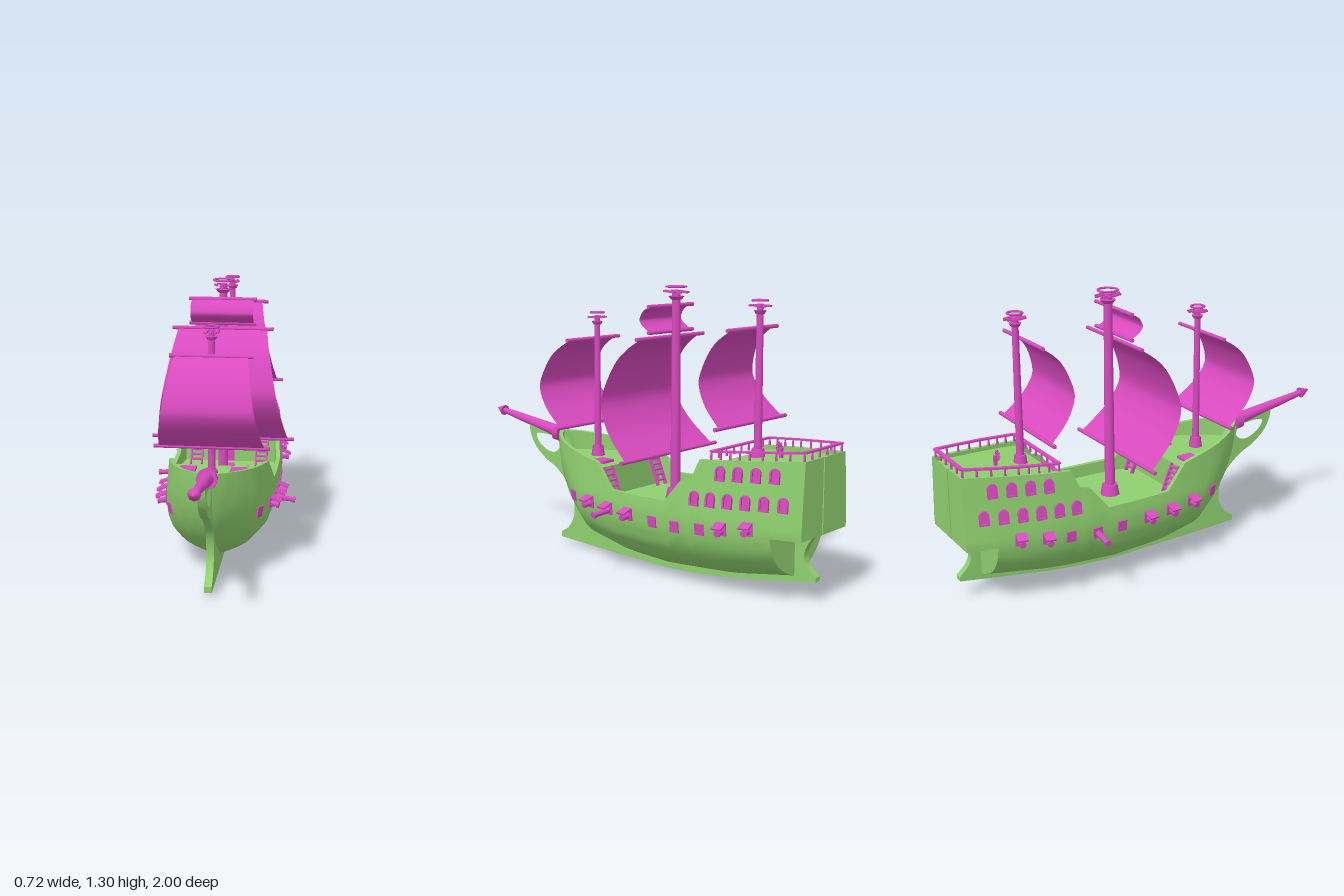
import * as THREE from 'three';
import { toCreasedNormals } from 'three/addons/utils/BufferGeometryUtils.js';

const V = (x, y, z) => new THREE.Vector3(x, y, z);
const green = new THREE.MeshStandardMaterial({ color: 0x8fd06f });
const pink = new THREE.MeshStandardMaterial({ color: 0xd94abf });
const cloth = new THREE.MeshStandardMaterial({ color: 0xd94abf, side: THREE.DoubleSide });

// Linear lookup in a list of [key, value] with rising keys
function look(table, k) {
  if (k <= table[0][0]) return table[0][1];
  for (let i = 1; i < table.length; i++) {
    const [a, va] = table[i - 1], [b, vb] = table[i];
    if (k <= b) return va + (vb - va) * (k - a) / (b - a);
  }
  return table[table.length - 1][1];
}

// Hull lines along z: top edge, bottom edge, half beam, height of the widest point
const SHEER = [[-1, .63], [-.52, .59], [-.485, .51], [-.43, .49], [-.35, .39], [-.03, .39], [.075, .5], [.3, .535], [.54, .575]];
const KEEL = [[-.865, .1], [-.55, .05], [-.23, .03], [0, .043], [.2, .085], [.33, .17], [.4, .235], [.455, .31], [.485, .38], [.51, .465], [.54, .57]];
const BEAM = [[-1, .175], [-.865, .21], [-.75, .235], [-.62, .256], [-.4, .27], [-.15, .268], [.05, .254], [.2, .227], [.3, .19], [.4, .135], [.48, .07], [.54, 0]];
const BILGE = [[.2, .33], [.4, .5], [.54, .575]];
const SECTION = [[0, .07], [.09, .35], [.24, .63], [.49, .87], [.74, .97], [1, 1]];
const sheer = (z) => look(SHEER, z);

function halfWidth(y, z) {
  const k = look(KEEL, z), m = Math.max(look(BILGE, z), k + .005);
  const full = y < m ? look(SECTION, (y - k) / (m - k)) : 1 - .12 * (y - m) / .3;
  return look(BEAM, z) * full;
}

// Hull shell with bulwarks, stepped decks and transom, lofted through stations
function hullGeometry() {
  const poop = (z) => sheer(z) - .018;
  const stations = [];
  const add = (zs, deck, low) => zs.forEach((z) => {
    const s = sheer(z), k = low ?? look(KEEL, z), d = Math.max(deck(z), k + .004);
    const row = [V(0, k, z)];
    for (let j = 0; j <= 16; j++) {
      const y = k + (s - k) * (j / 16) ** 1.25;
      row.push(V(halfWidth(y, z), y, z));
    }
    const inner = Math.max(0, Math.min(halfWidth(s, z), halfWidth(d, z)) - .02);
    row.push(V(inner, s, z), V(inner, d, z), V(0, d, z));
    stations.push(row);
  });
  add([.54, .525, .51, .497, .485, .47, .455, .43, .4, .365, .33, .3, .25, .2, .14, .075, .07], () => .47);
  add([.07, .02, -.03, -.12, -.23, -.35, -.43, -.46], () => .33);
  add([-.46, -.485, -.52, -.57], () => .45);
  add([-.57, -.62, -.7, -.78, -.865], poop);
  add([-.865, -.93, -.995], poop, .3);
  stations.push(stations[stations.length - 1].map((p) => V(0, p.y, p.z)));

  const pos = [];
  const tri = (...pts) => {
    pts.forEach((p) => pos.push(p.x, p.y, p.z));
    pts.reverse().forEach((p) => pos.push(-p.x, p.y, p.z));
  };
  for (let i = 0; i + 1 < stations.length; i++) {
    for (let j = 0; j + 1 < stations[i].length; j++) {
      const a = stations[i][j], b = stations[i][j + 1], c = stations[i + 1][j + 1], d = stations[i + 1][j];
      tri(a, d, c);
      tri(a, c, b);
    }
  }
  const g = new THREE.BufferGeometry();
  g.setAttribute('position', new THREE.Float32BufferAttribute(pos, 3));
  return toCreasedNormals(g, .55);
}

// Keel plate with beakhead loop and rudder, drawn in (z, y)
function keelGeometry() {
  const s = new THREE.Shape();
  s.moveTo(.745, .585);
  s.splineThru([[.735, .53], [.7, .47], [.63, .415], [.545, .37], [.455, .28], [.43, .17], [.465, .09], [.52, .053]].map((p) => new THREE.Vector2(...p)));
  s.lineTo(.52, .025);
  s.splineThru([[.25, .012], [0, .004], [-.2, 0], [-.45, .014], [-.7, .048], [-.97, .09]].map((p) => new THREE.Vector2(...p)));
  s.lineTo(-.97, .11);
  s.splineThru([[-.925, .155], [-.912, .2], [-.93, .25], [-.97, .305]].map((p) => new THREE.Vector2(...p)));
  [[-1, .305], [-1, .63], [-.99, .63], [-.99, .32], [-.84, .3], [-.8, .11], [-.23, .07], [.2, .13], [.4, .32], [.48, .5], [.52, .56], [.56, .56]].forEach((p) => s.lineTo(...p));
  const hole = new THREE.Path();
  hole.moveTo(.545, .53);
  hole.splineThru([[.62, .54], [.69, .535], [.675, .495], [.62, .46], [.565, .455], [.53, .485], [.545, .53]].map((p) => new THREE.Vector2(...p)));
  s.holes.push(hole);
  const g = new THREE.ExtrudeGeometry(s, { depth: .034, bevelEnabled: false, curveSegments: 24 });
  return toCreasedNormals(g.translate(0, 0, -.017).rotateY(-Math.PI / 2), .5);
}

export function createModel() {
  const ship = new THREE.Group();
  const group = (name, parent = ship) => {
    const g = new THREE.Group();
    g.name = name;
    parent.add(g);
    return g;
  };
  const mesh = (name, geo, mat = pink, parent = ship, x = 0, y = 0, z = 0) => {
    const m = new THREE.Mesh(geo, mat);
    m.name = name;
    m.position.set(x, y, z);
    parent.add(m);
    return m;
  };
  const box = (name, w, h, d, x, y, z, parent) => mesh(name, new THREE.BoxGeometry(w, h, d), pink, parent, x, y, z);
  const cyl = (name, rt, rb, h, n, x, y, z, parent) => mesh(name, new THREE.CylinderGeometry(rt, rb, h, n), pink, parent, x, y, z);
  const beam = (name, a, b, w, h, parent) => {
    const mid = a.clone().add(b).multiplyScalar(.5);
    const m = box(name, w, h, a.distanceTo(b), mid.x, mid.y, mid.z, parent);
    m.lookAt(b);
    return m;
  };

  mesh('hull', hullGeometry(), green);
  mesh('keel', keelGeometry(), green);

  // Bowsprit
  const sprit = group('bowsprit');
  sprit.position.set(0, .555, .53);
  sprit.rotation.x = Math.PI / 2 - .17;
  cyl('collar', .047, .047, .035, 8, 0, .01, 0, sprit);
  cyl('spar', .014, .032, .43, 12, 0, .215, 0, sprit);
  cyl('spritTip', .001, .028, .055, 8, 0, .45, 0, sprit);

  // Sails: a bulging sheet between two yards
  const bulge = new THREE.SplineCurve([[0, 0], [.1, .42], [.23, .74], [.45, .98], [.6, .97], [.8, .62], [1, 0]].map((p) => new THREE.Vector2(...p)));
  function sail(name, z, yTop, yLow, wTop, wLow, depth, over) {
    const g = group(name);
    g.position.set(-.007, 0, z);
    const geo = new THREE.PlaneGeometry(1, 1, 4, 24), p = geo.attributes.position;
    for (let i = 0; i < p.count; i++) {
      const b = bulge.getPoint(.5 - p.getY(i));
      p.setXYZ(i, p.getX(i) * 2 * (wTop + (wLow - wTop) * b.x), yTop + (yLow - yTop) * b.x, depth * b.y);
    }
    geo.computeVertexNormals();
    mesh('cloth', geo, cloth, g);
    [[yTop, wTop], [yLow, wLow]].forEach(([y, w]) => {
      cyl('yard', .009, .009, 2 * (w + over), 8, 0, y, 0, g).rotation.z = Math.PI / 2;
    });
  }
  sail('foreSail', .315, 1.04, .63, .16, .235, .165, .023);
  sail('mainSail', -.165, 1.075, .54, .21, .315, .185, .03);
  sail('topSail', -.165, 1.215, 1.1, .147, .147, .06, .012);
  sail('mizzenSail', -.615, 1.135, .73, .155, .235, .135, .03);

  // Masts with octagonal foot and lookout basket
  function mast(name, z, base, top, r, nest) {
    const g = group(name);
    g.position.set(-.008, 0, z);
    cyl('pole', r * .8, r, top - .02 - base, 12, 0, (top - .02 + base) / 2, 0, g);
    cyl('foot', r * 1.5, r * 2, .06, 8, 0, base + .03, 0, g);
    cyl('basketFloor', nest * .75, nest * .5, .016, 12, 0, top - .055, 0, g);
    mesh('basketRim', new THREE.TorusGeometry(nest - .004, .005, 6, 20).rotateX(Math.PI / 2), pink, g, 0, top - .005, 0);
    for (let i = 0; i < 8; i++) {
      const a = i * Math.PI / 4, c = Math.cos(a), s = Math.sin(a), q = nest * .68;
      beam('basketPost', V(c * q, top - .05, s * q), V(c * (nest - .004), top - .005, s * (nest - .004)), .008, .008, g)
        .position.x += 0;
    }
  }
  mast('foreMast', .29, .46, 1.17, .017, .036);
  mast('mainMast', -.195, .32, 1.305, .024, .049);
  mast('mizzenMast', -.65, .56, 1.26, .018, .037);

  // Seats a fitting on the hull side, its own +z pointing outwards
  function onHull(g, side, y, z) {
    const at = (yy, zz) => V(side * halfWidth(yy, zz), yy, zz);
    const up = at(y + .02, z).sub(at(y - .02, z)).normalize();
    const along = at(y, z + .02).sub(at(y, z - .02)).multiplyScalar(-side).normalize();
    const out = along.clone().cross(up).normalize();
    g.quaternion.setFromRotationMatrix(new THREE.Matrix4().makeBasis(up.clone().cross(out), up, out));
    g.position.copy(at(y, z));
  }

  // Arched windows
  const arch = (P, w, h) => {
    const p = new P();
    p.moveTo(-w, -h).lineTo(w, -h).lineTo(w, h - w);
    p.absarc(0, h - w, w, 0, Math.PI, false);
    return p.lineTo(-w, -h);
  };
  const frameShape = arch(THREE.Shape, .022, .032);
  frameShape.holes.push(arch(THREE.Path, .014, .024));
  const frameGeo = new THREE.ExtrudeGeometry(frameShape, { depth: .018, bevelEnabled: false, curveSegments: 6 }).translate(0, 0, -.006);
  const paneGeo = new THREE.ExtrudeGeometry(arch(THREE.Shape, .015, .025), { depth: .008, bevelEnabled: false, curveSegments: 6 }).translate(0, 0, -.004);
  const windows = [];
  for (let i = 0; i < 6; i++) windows.push([-.51 - i * .081, .425 + i * .004]);
  for (let i = 0; i < 4; i++) windows.push([-.63 - i * .081, .545 + i * .005]);

  // Gun ports: [z, y, open]
  const ports = [[.25, .315, 0], [.105, .31, 1], [-.02, .3, 1], [-.145, .295, 1], [-.285, .287, 0], [-.41, .285, 0], [-.54, .295, 0], [-.65, .31, 1], [-.77, .325, 1]];
  for (const side of [1, -1]) {
    for (const [z, y] of windows) {
      const g = group('window');
      mesh('frame', frameGeo, pink, g);
      mesh('pane', paneGeo, pink, g);
      onHull(g, side, y, z);
    }
    for (const [z, y, open] of ports) {
      const g = group('gunPort');
      box('portPlate', .044, .05, .012, 0, 0, 0, g);
      const long = z === (side > 0 ? -.02 : -.41);
      if (open) box('portLid', .046, .008, .052, 0, .024, .026, g).rotation.x = .25;
      if (open || long) {
        const len = long ? .1 : .045;
        cyl('cannon', .011, .015, len, 10, 0, -.004, len / 2, g).rotation.x = Math.PI / 2;
        cyl('muzzle', .015, .015, .012, 10, 0, -.004, len - .006, g).rotation.x = Math.PI / 2;
      }
      onHull(g, side, y, z);
    }
  }

  // Railings: posts under a flat handrail
  function railing(name, pts, height, parts) {
    const g = group(name);
    for (let i = 0; i + 1 < pts.length; i++) {
      const a = pts[i], b = pts[i + 1], lift = V(0, height, 0);
      beam('handrail', a.clone().add(lift), b.clone().add(lift), .018, .008, g);
      for (let j = 0; j <= parts[i]; j++) {
        const p = a.clone().lerp(b, j / parts[i]);
        cyl('post', .004, .006, height, 6, p.x, p.y + height / 2, p.z, g);
      }
    }
  }
  const edge = (side, z) => V(side * (halfWidth(sheer(z), z) - .014), sheer(z), z);
  const run = [-.57, -.75, -.865, -.982];
  railing('poopRail', [...run.map((z) => edge(1, z)), ...run.map((z) => edge(-1, z)).reverse(), edge(1, -.57)], .035, [4, 2, 2, 5, 2, 2, 4, 8]);
  railing('halfDeckRail', [V(-.13, .45, -.468), V(.13, .45, -.468)], .05, [6]);

  // Stairs between decks
  function stairs(x, zLow, yLow, zTop, yTop) {
    const g = group('stairs');
    for (const s of [-.028, .028]) beam('stringer', V(x + s, yLow, zLow), V(x + s, yTop, zTop), .007, .018, g);
    for (let i = 1; i <= 5; i++) {
      const t = i / 5.5;
      box('tread', .055, .007, .018, x, yLow + (yTop - yLow) * t, zLow + (zTop - zLow) * t, g);
    }
  }
  for (const x of [-.165, .165]) {
    stairs(x, -.375, .335, -.46, .45);
    stairs(x, .015, .335, .07, .47);
    stairs(x, -.51, .455, -.57, .57);
  }

  // Deck gratings and cabin doors
  for (const [x, y, z] of [[-.008, .335, -.35], [-.135, .475, .16], [.1, .475, .16]]) {
    box('grating', .076, .014, .076, x, y, z);
  }
  box('cabinDoor', .045, .085, .01, 0, .495, -.569);
  box('lowerDoor', .045, .085, .01, 0, .375, -.459);

  // Steering wheel
  const helm = group('steeringWheel');
  helm.position.set(-.008, .595, -.77);
  box('stand', .014, .045, .014, 0, .022, 0, helm);
  mesh('wheelRim', new THREE.TorusGeometry(.017, .003, 6, 16), pink, helm, 0, .043, .011);
  for (let i = 0; i < 4; i++) box('spoke', .05, .004, .004, 0, .043, .011, helm).rotation.z = i * Math.PI / 4;

  return ship;
}
